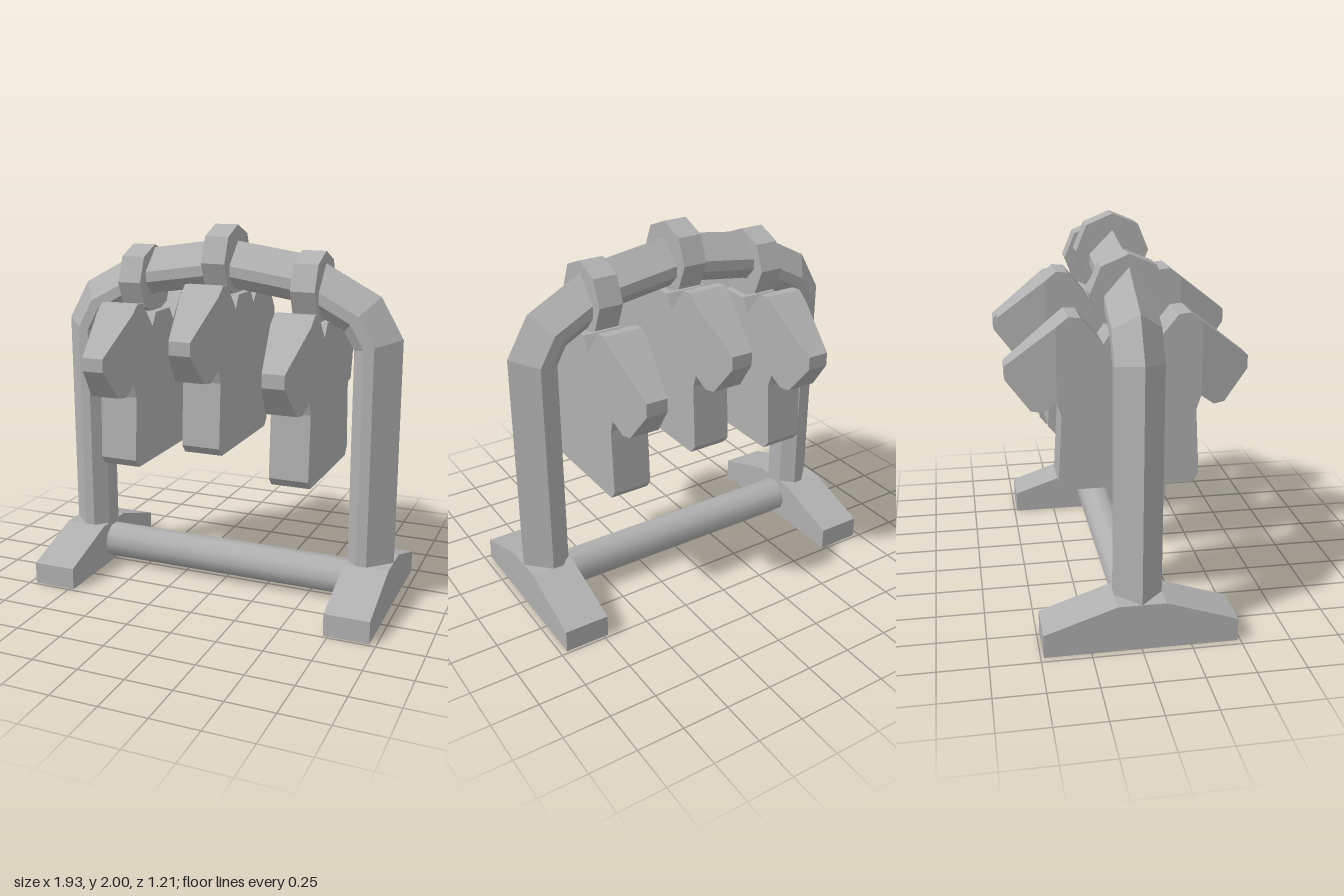
import * as THREE from 'three';
import { toCreasedNormals } from 'three/addons/utils/BufferGeometryUtils.js';

const grey = new THREE.MeshStandardMaterial({ color: 0xb0b0b0 });
grey.name = 'plain grey';

function add(parent, geometry, name, x = 0, y = 0, z = 0) {
  const mesh = new THREE.Mesh(geometry, grey);
  mesh.name = name;
  mesh.position.set(x, y, z);
  parent.add(mesh);
  return mesh;
}

// Extrudes a [z, y] outline along x, centred on x = 0
function plate(points, width) {
  const shape = new THREE.Shape(points.map(([z, y]) => new THREE.Vector2(z, y)));
  const g = new THREE.ExtrudeGeometry(shape, { depth: width, bevelEnabled: false });
  return g.translate(0, 0, -width / 2).rotateY(-Math.PI / 2);
}

// Closes a half outline by mirroring it in z
const mirrored = half => [...half, ...half.slice().reverse().filter(p => p[0] !== 0).map(([z, y]) => [-z, y])];

// Sweeps the ridged section along the arch with mitred corners
function archGeometry() {
  const half = [[0.965, 0.2], [0.965, 1.45], [0.845, 1.66], [0.48, 1.855]];
  const path = [...half, [0, 1.925], ...half.slice().reverse().map(([x, y]) => [-x, y])]
    .map(p => new THREE.Vector2(...p));
  // [distance inward from the outer ridge, z]
  const section = [[0, 0], [0.12, -0.12], [0.175, -0.12], [0.24, -0.055],
    [0.24, 0.055], [0.175, 0.12], [0.12, 0.12]];
  const n = section.length, positions = [], index = [];
  const normalOf = i => {
    const d = path[i + 1].clone().sub(path[i]).normalize();
    return new THREE.Vector2(-d.y, d.x);
  };
  path.forEach((p, i) => {
    const a = normalOf(Math.max(i - 1, 0));
    const b = normalOf(Math.min(i, path.length - 2));
    const mitre = a.clone().add(b).normalize();
    mitre.divideScalar(mitre.dot(a));
    for (const [d, z] of section) positions.push(p.x + mitre.x * d, p.y + mitre.y * d, z);
    if (i === 0) return;
    for (let j = 0; j < n; j++) {
      const k = (j + 1) % n, lo = (i - 1) * n, hi = i * n;
      index.push(lo + j, lo + k, hi + k, lo + j, hi + k, hi + j);
    }
  });
  const g = new THREE.BufferGeometry();
  g.setAttribute('position', new THREE.Float32BufferAttribute(positions, 3));
  g.setIndex(index);
  return toCreasedNormals(g, 0.2);
}

// Tapered end of a hanging panel, narrowing toward its tip
function tipGeometry() {
  const g = plate([[0.36, 1.17], [0.43, 1.12], [0.485, 1.127], [0.605, 1.285],
    [0.605, 1.355], [0.36, 1.547]], 0.21);
  const p = g.attributes.position;
  for (let i = 0; i < p.count; i++) {
    const t = (p.getZ(i) - 0.36) / 0.245;
    p.setX(i, p.getX(i) * (1 - 0.45 * t));
  }
  g.computeVertexNormals();
  return g;
}

export function createModel() {
  const model = new THREE.Group();
  model.name = 'hangingPanelFrame';

  // Stand: arch, feet and lower bar
  add(model, archGeometry(), 'arch');
  const foot = plate(mirrored([[0.485, 0], [0.485, 0.12], [0.12, 0.243]]), 0.24);
  for (const side of [1, -1]) add(model, foot, side > 0 ? 'leftFoot' : 'rightFoot', side * 0.845);
  const bar = new THREE.CylinderGeometry(0.1, 0.1, 1.5, 10, 1, true).rotateZ(Math.PI / 2);
  add(model, toCreasedNormals(bar, 0.7), 'lowerBar', 0, 0.125);

  // Three hangers: a collar on the arch with a double ended panel below
  const collar = toCreasedNormals(new THREE.CylinderGeometry(0.19, 0.19, 0.13, 8).rotateZ(Math.PI / 2), 0.3);
  const body = plate(mirrored([[0.32, 0.71], [0.357, 0.755], [0.337, 1.1], [0.36, 1.17],
    [0.36, 1.547], [0.3, 1.595], [0.24, 1.59], [0.13, 1.455], [0.085, 1.525]]), 0.21);
  const tip = tipGeometry();
  for (const [x, lift] of [[-0.485, 0], [0, 0.12], [0.485, 0]]) {
    const hanger = new THREE.Group();
    hanger.name = 'hanger';
    hanger.position.set(x, lift, 0);
    add(hanger, collar, 'collar', 0, 1.69);
    add(hanger, body, 'panelBody');
    add(hanger, tip, 'frontTip');
    add(hanger, tip, 'backTip').rotation.y = Math.PI;
    model.add(hanger);
  }
  return model;
}
